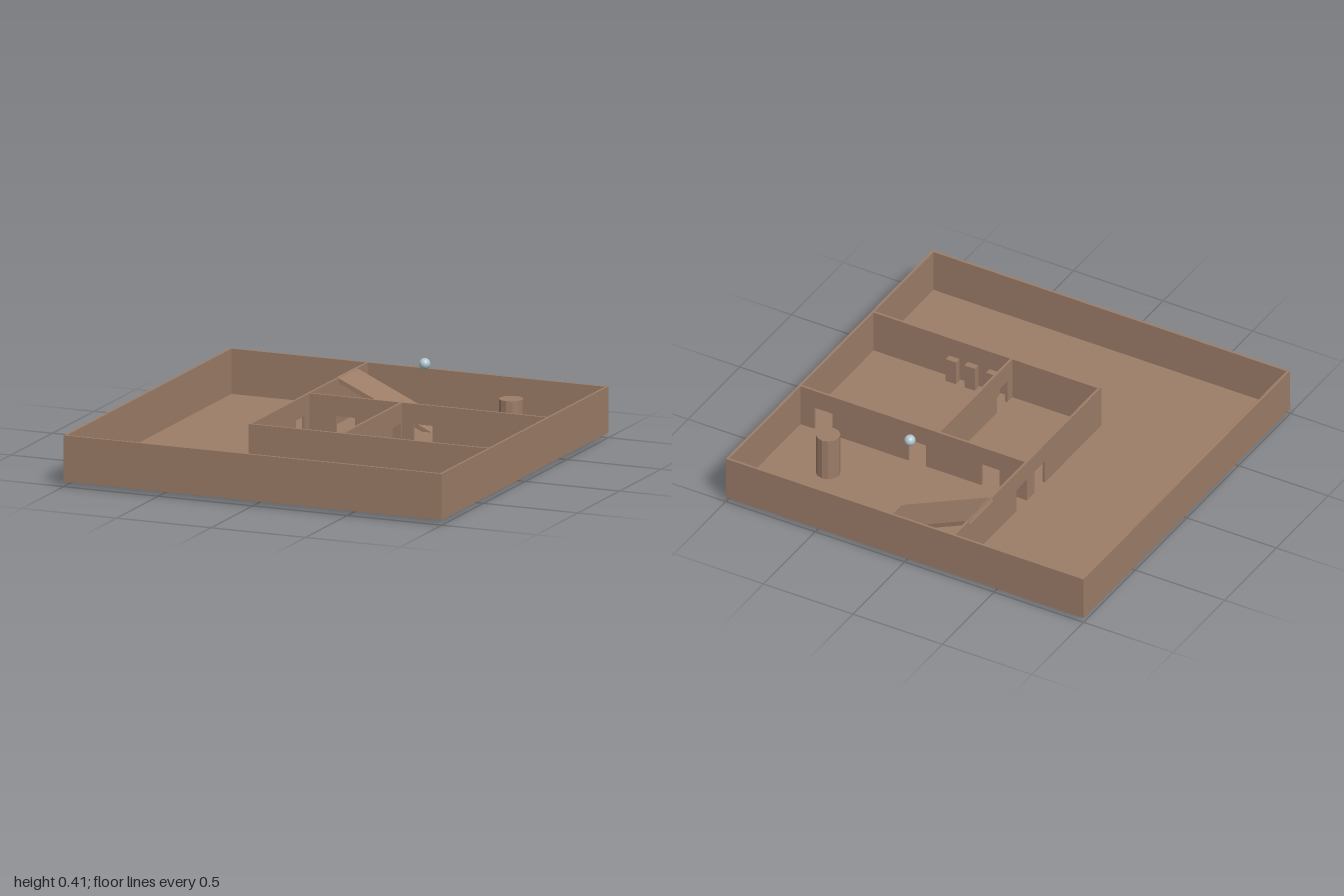
import * as THREE from 'three';

const FLOOR = 0.03, TOP = 0.255, DOOR_TOP = 0.155, T = 0.013;

export function createModel() {
  const model = new THREE.Group();
  model.name = 'walledCompound';
  const clay = new THREE.MeshStandardMaterial({ color: 0x9c7d68 });
  clay.name = 'clay brown';
  const pale = new THREE.MeshStandardMaterial({ color: 0xb0c4cc });
  pale.name = 'pale blue';

  const add = (name, geometry, x, y, z, material = clay) => {
    const mesh = new THREE.Mesh(geometry, material);
    mesh.name = name;
    mesh.position.set(x, y, z);
    model.add(mesh);
    return mesh;
  };

  // Box given by its limits on each axis
  const block = (name, x0, x1, y0, y1, z0, z1) =>
    add(name, new THREE.BoxGeometry(x1 - x0, y1 - y0, z1 - z0),
      (x0 + x1) / 2, (y0 + y1) / 2, (z0 + z1) / 2);

  // Wall outline from a to b with doorways notched up from the floor
  const wallGeometry = (a, b, doors) => {
    const shape = new THREE.Shape();
    shape.moveTo(a, FLOOR);
    for (const [d0, d1] of doors) {
      shape.lineTo(d0, FLOOR);
      shape.lineTo(d0, DOOR_TOP);
      shape.lineTo(d1, DOOR_TOP);
      shape.lineTo(d1, FLOOR);
    }
    shape.lineTo(b, FLOOR);
    shape.lineTo(b, TOP);
    shape.lineTo(a, TOP);
    const g = new THREE.ExtrudeGeometry(shape, { depth: T, bevelEnabled: false });
    return g.translate(0, 0, -T / 2);
  };
  const wallAlongX = (name, z, a, b, doors = []) =>
    add(name, wallGeometry(a, b, doors), 0, 0, z);
  const wallAlongZ = (name, x, a, b, doors = []) => {
    // Shape x becomes world z, so the span is mirrored before turning
    const flipped = doors.map(([p, q]) => [-q, -p]).reverse();
    add(name, wallGeometry(-b, -a, flipped).rotateY(Math.PI / 2), x, 0, 0);
  };

  // Floor slab and boundary walls
  block('floor', -0.99, 0.99, 0.027, FLOOR, -0.99, 0.99);
  for (const s of [-1, 1]) {
    const near = s * (1 - T), far = s;
    const lo = Math.min(near, far), hi = Math.max(near, far);
    block(s > 0 ? 'frontOuterWall' : 'backOuterWall', -1, 1, 0.025, TOP, lo, hi);
    block(s > 0 ? 'leftOuterWall' : 'rightOuterWall', lo, hi, 0.025, TOP, -1 + T, 1 - T);
  }

  // Inner rooms
  const end = 1 - T, h = T / 2;
  wallAlongZ('longInnerWall', -0.272, -end, 0.414 - h, [[-0.4, -0.3], [-0.225, -0.125]]);
  wallAlongX('middleInnerWall', -0.292, -0.272 + h, end,
    [[-0.125, -0.025], [0.285, 0.385], [0.81, 0.91]]);
  wallAlongX('frontInnerWall', 0.414, -0.272 - h, end);
  wallAlongZ('roomDivider', 0.218, -0.292 + h, 0.414 - h, [[-0.27, -0.17], [0.26, 0.36]]);

  // Sloping ramp that dips through the floor
  const thick = 0.022, x0 = -0.275, y0 = 0.258, x1 = 0.25, y1 = 0.02;
  const slope = Math.atan2(y1 - y0, x1 - x0);
  const ramp = add('ramp',
    new THREE.BoxGeometry(Math.hypot(x1 - x0, y1 - y0), thick, 0.226),
    (x0 + x1) / 2 + Math.sin(slope) * thick / 2,
    (y0 + y1) / 2 - Math.cos(slope) * thick / 2, -0.748);
  ramp.rotation.z = slope;

  // Pillar
  const pillar = new THREE.CylinderGeometry(0.06, 0.06, TOP - FLOOR, 12).toNonIndexed();
  pillar.computeVertexNormals();
  add('pillar', pillar, 0.672, (TOP + FLOOR) / 2, -0.577);

  // Row of small crates
  for (const x of [0.303, 0.424, 0.529]) {
    block('crate', x - 0.029, x + 0.029, FLOOR, 0.16, 0.363, 0.397);
  }

  // Floating ball
  add('ball', new THREE.SphereGeometry(0.028, 24, 16), 0.215, 0.385, -0.577, pale);

  return model;
}
